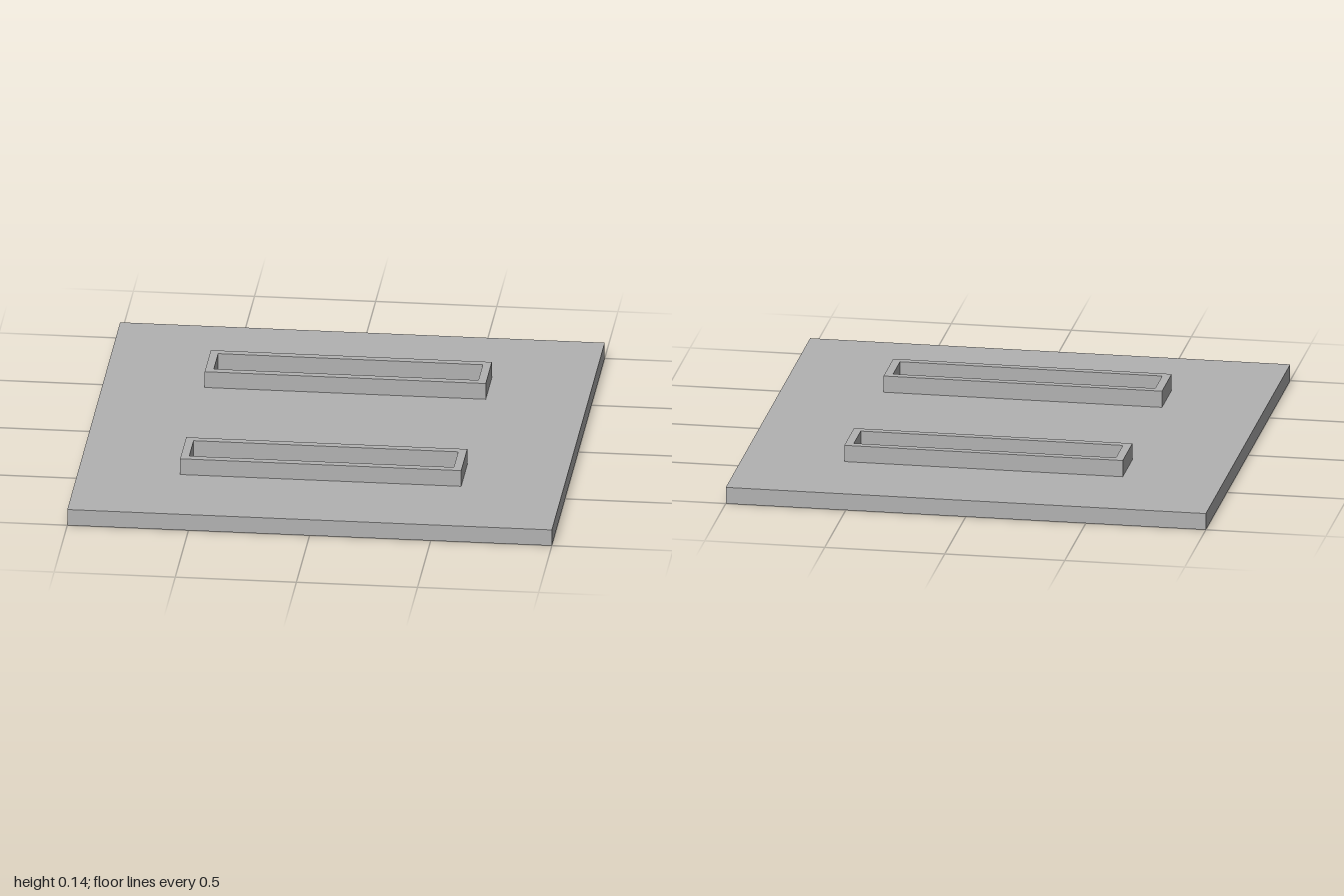
import * as THREE from 'three';

const PLATE_HEIGHT = 0.07;
const COLLAR_HEIGHT = 0.07;
const SLOT_Z = 0.465;
const SLOT = [0.546, 0.082]; // half sizes in x and z
const COLLAR = [0.58, 0.115];

// Traces a centred rectangle onto a Shape or Path
function rectangle(path, [hx, hz], z = 0) {
  path.moveTo(-hx, z - hz);
  path.lineTo(hx, z - hz);
  path.lineTo(hx, z + hz);
  path.lineTo(-hx, z + hz);
  path.closePath();
  return path;
}

// Extrudes a flat outline upwards from height y
function slab(name, shape, height, y, material) {
  const geometry = new THREE.ExtrudeGeometry(shape, { depth: height, bevelEnabled: false });
  geometry.rotateX(-Math.PI / 2);
  const mesh = new THREE.Mesh(geometry, material);
  mesh.name = name;
  mesh.position.y = y;
  return mesh;
}

export function createModel() {
  const model = new THREE.Group();
  model.name = 'slottedPlate';
  const grey = new THREE.MeshStandardMaterial({ color: 0xb2b2b2 });
  grey.name = 'plain grey';

  // Square base plate with two slots cut right through
  const base = rectangle(new THREE.Shape(), [1, 1]);
  for (const side of [-1, 1]) {
    base.holes.push(rectangle(new THREE.Path(), SLOT, side * SLOT_Z));
  }
  model.add(slab('basePlate', base, PLATE_HEIGHT, 0, grey));

  // Raised collar around each slot
  for (const [name, side] of [['frontCollar', 1], ['backCollar', -1]]) {
    const rim = rectangle(new THREE.Shape(), COLLAR);
    rim.holes.push(rectangle(new THREE.Path(), SLOT));
    const collar = slab(name, rim, COLLAR_HEIGHT, PLATE_HEIGHT, grey);
    collar.position.z = side * SLOT_Z;
    model.add(collar);
  }
  return model;
}
